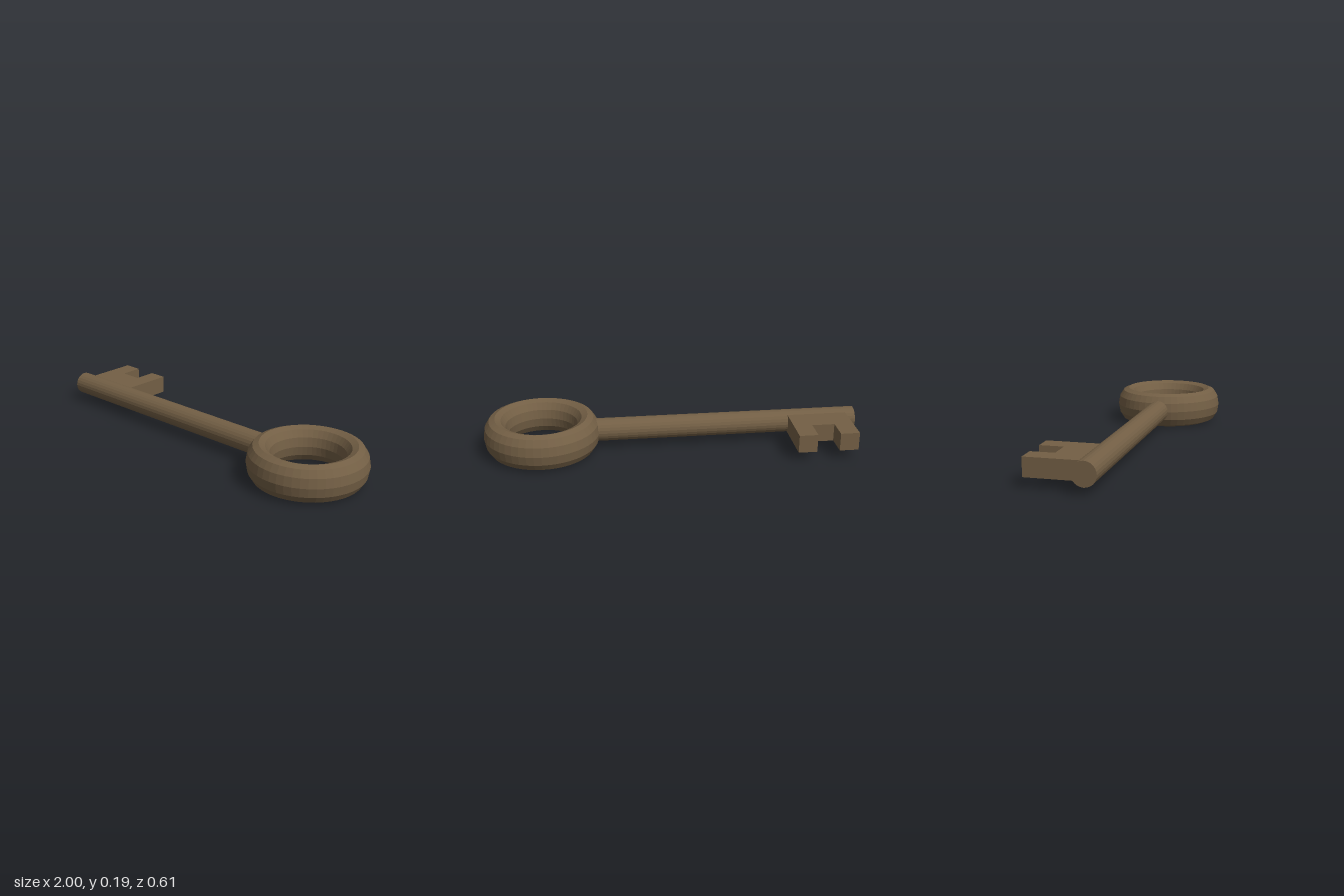
import * as THREE from 'three';

export function createModel() {
  const key = new THREE.Group();
  key.name = 'key';
  const midY = 0.097;
  const bronze = new THREE.MeshStandardMaterial({ color: 0x735f45 });
  bronze.name = 'agedBronze';

  function add(name, geometry, x, y, z) {
    // unshared corners give each facet its own normal
    const flat = geometry.index ? geometry.toNonIndexed() : geometry;
    flat.computeVertexNormals();
    const mesh = new THREE.Mesh(flat, bronze);
    mesh.name = name;
    mesh.position.set(x, y, z);
    key.add(mesh);
  }

  // Ring handle: a flat-lying torus stretched to an oval section
  const ring = new THREE.TorusGeometry(0.2435, 0.062, 12, 48);
  ring.rotateX(Math.PI / 2);
  ring.scale(1, midY / 0.062, 1);
  add('ringHandle', ring, 0.695, midY, 0);

  // Round shaft, its end buried in the ring
  const start = -1, end = 0.45;
  const shaft = new THREE.CylinderGeometry(0.061, 0.061, end - start, 24);
  shaft.rotateZ(Math.PI / 2);
  add('shaft', shaft, (start + end) / 2, midY + 0.001, 0);

  // Notched bit, drawn in plan with shape y pointing to -z
  const thickness = 0.096;
  const outline = new THREE.Shape([
    [-0.947, 0], [-0.627, 0], [-0.627, 0.307], [-0.726, 0.307],
    [-0.726, 0.184], [-0.846, 0.184], [-0.846, 0.307], [-0.947, 0.307],
  ].map(([x, y]) => new THREE.Vector2(x, y)));
  const bit = new THREE.ExtrudeGeometry(outline, { depth: thickness, bevelEnabled: false });
  bit.rotateX(-Math.PI / 2);
  add('bit', bit, 0, midY - thickness / 2, 0);

  return key;
}
